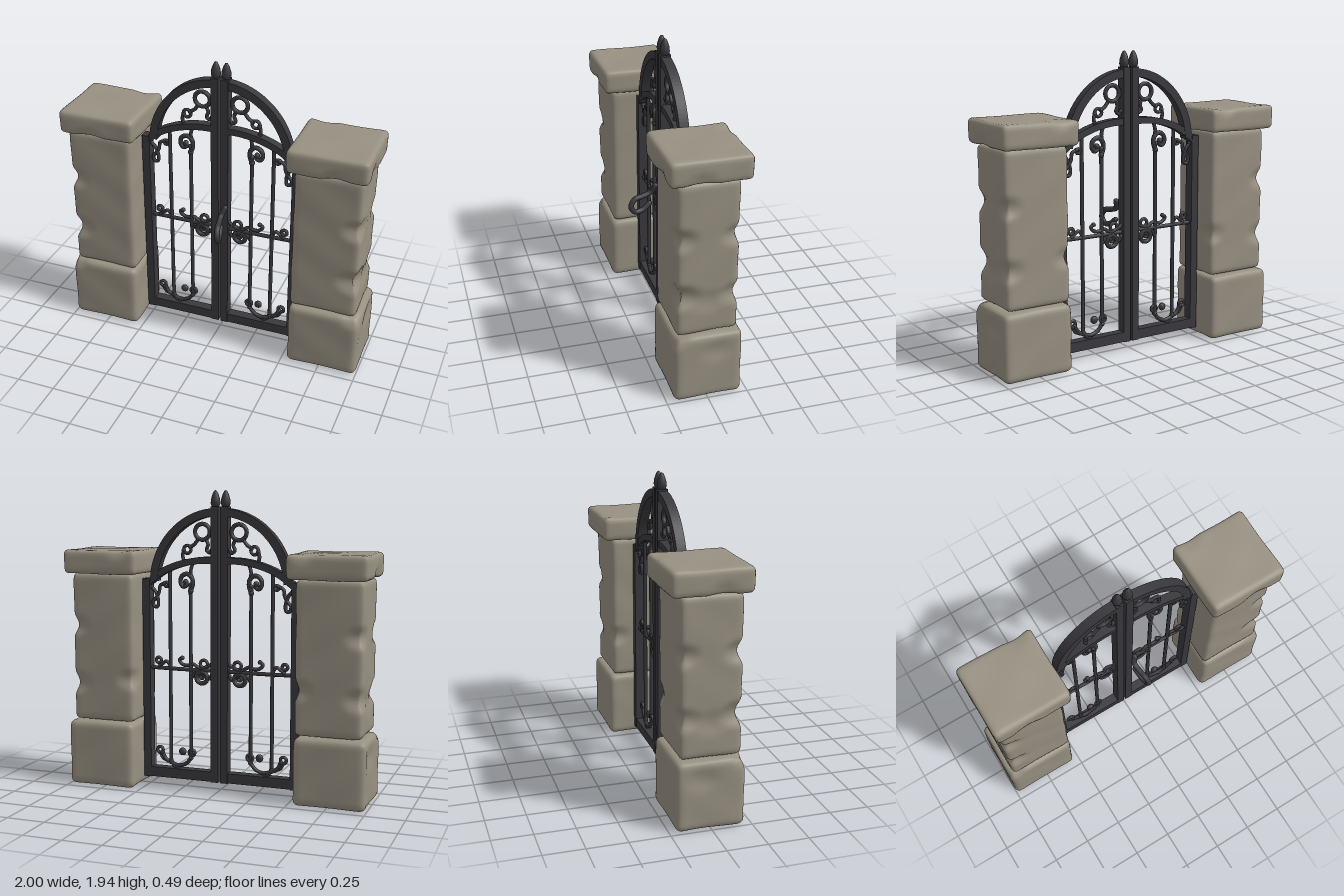
import * as THREE from 'three';
import { mergeVertices } from 'three/addons/utils/BufferGeometryUtils.js';

const stone = new THREE.MeshStandardMaterial({ color: 0x989182 });
stone.name = 'weathered stone';
const iron = new THREE.MeshStandardMaterial({ color: 0x39383d });
iron.name = 'dark iron';

const GATE_Z = -0.012;
const DEPTH = 0.066;

function add(parent, name, geometry, material, x = 0, y = 0, z = 0) {
  const mesh = new THREE.Mesh(geometry, material);
  mesh.name = name;
  mesh.position.set(x, y, z);
  parent.add(mesh);
  return mesh;
}

// Rounded block with gentle waves and chipped hollows [x, y, z, reach, depth]
function stoneGeometry(w, h, d, radius, side, chips) {
  const seg = (len) => Math.round(len / 0.02);
  let geo = new THREE.BoxGeometry(w, h, d, seg(w), seg(h), seg(d));
  geo.deleteAttribute('normal');
  geo.deleteAttribute('uv');
  geo = mergeVertices(geo, 1e-4);
  const half = new THREE.Vector3(w / 2 - radius, h / 2 - radius, d / 2 - radius);
  const low = half.clone().negate();
  const pos = geo.attributes.position;
  const p = new THREE.Vector3(), core = new THREE.Vector3(), n = new THREE.Vector3();
  for (let i = 0; i < pos.count; i++) {
    p.fromBufferAttribute(pos, i);
    core.copy(p).clamp(low, half);
    n.copy(p).sub(core).normalize();
    p.copy(core).addScaledVector(n, radius);
    let push = 0.003 * Math.sin(p.x * 13 + p.y * 9) * Math.cos(p.z * 15 + p.y * 11) - 0.002;
    for (const [cx, cy, cz, reach, depth] of chips) {
      const dist = Math.hypot(p.x * side - cx, (p.y - cy) * 1.6, p.z - cz) / reach;
      if (dist < 1) push -= depth * (1 - dist * dist) ** 2;
    }
    p.addScaledVector(n, push);
    pos.setXYZ(i, p.x, p.y, p.z);
  }
  geo.computeVertexNormals();
  return geo;
}

function pillar(side) {
  const g = new THREE.Group();
  g.name = side > 0 ? 'leftPillar' : 'rightPillar';
  add(g, 'pillarBase', stoneGeometry(0.465, 0.436, 0.422, 0.04, side,
    [[0.2, 0.2, 0.2, 0.1, 0.02], [0.23, 0.1, -0.05, 0.14, 0.01]]), stone, side * 0.766, 0.223, -0.004);
  add(g, 'pillarShaft', stoneGeometry(0.432, 0.97, 0.378, 0.035, side,
    [[0.21, 0.14, 0.18, 0.14, 0.035], [0.21, -0.23, 0.18, 0.16, 0.04],
      [0.21, 0.14, -0.18, 0.13, 0.03], [0.21, -0.24, -0.18, 0.14, 0.03],
      [-0.21, -0.2, -0.18, 0.13, 0.025], [0.2, -0.27, 0, 0.15, 0.012]]), stone, side * 0.752, 0.928, 0);
  add(g, 'pillarCap', stoneGeometry(0.508, 0.158, 0.492, 0.032, side,
    [[0.05, -0.07, 0.24, 0.12, 0.015], [0.25, -0.06, 0.06, 0.12, 0.015],
      [-0.14, 0.07, -0.24, 0.1, 0.012]]), stone, side * 0.745, 1.486, -0.004);
  return g;
}

// Flat iron band following a smooth line of [x, y] points
function bandGeometry(points, width, side, depth) {
  const curve = new THREE.CatmullRomCurve3(points.map(([x, y]) => new THREE.Vector3(x * side, y, 0)));
  const outer = [], inner = [];
  const N = 28;
  for (let i = 0; i <= N; i++) {
    const p = curve.getPointAt(i / N), t = curve.getTangentAt(i / N);
    outer.push(new THREE.Vector2(p.x - t.y * width / 2, p.y + t.x * width / 2));
    inner.unshift(new THREE.Vector2(p.x + t.y * width / 2, p.y - t.x * width / 2));
  }
  const geo = new THREE.ExtrudeGeometry(new THREE.Shape([...outer, ...inner]), { depth, bevelEnabled: false });
  return geo.translate(0, 0, -depth / 2);
}

function gateLeaf(side) {
  const g = new THREE.Group();
  g.name = side > 0 ? 'leftGateLeaf' : 'rightGateLeaf';
  g.position.z = GATE_Z;

  const box = (name, x0, x1, y0, y1, d = DEPTH) =>
    add(g, name, new THREE.BoxGeometry(x1 - x0, y1 - y0, d), iron, side * (x0 + x1) / 2, (y0 + y1) / 2);
  const rod = (name, points, r = 0.012) => {
    const curve = new THREE.CatmullRomCurve3(points.map(([x, y]) => new THREE.Vector3(x * side, y, 0)));
    add(g, name, new THREE.TubeGeometry(curve, points.length * 6, r, 8), iron);
    for (const [x, y] of [points[0], points[points.length - 1]])
      add(g, name + 'End', new THREE.SphereGeometry(r * 1.25, 10, 8), iron, x * side, y);
  };
  const ring = (name, x, y, r, tube = 0.011) =>
    add(g, name, new THREE.TorusGeometry(r, tube, 8, 24), iron, x * side, y);

  // Frame
  box('outerStile', 0.477, 0.528, 0.057, 1.375);
  box('innerStile', 0.007, 0.057, 0.057, 1.84);
  box('bottomRail', 0.05, 0.485, 0.06, 0.125, DEPTH - 0.004);
  const arch = [];
  for (let i = 0; i <= 8; i++) {
    const a = 0.06 + i / 8 * 1.43;
    arch.push([0.452 * Math.cos(a), 1.335 + 0.472 * Math.sin(a)]);
  }
  add(g, 'topArch', bandGeometry(arch, 0.052, side, DEPTH - 0.006), iron);
  add(g, 'lowerArch', bandGeometry([[0.495, 1.345], [0.4, 1.418], [0.28, 1.47], [0.15, 1.497], [0.03, 1.502]],
    0.042, side, DEPTH - 0.01), iron);

  // Spear finial
  const spear = [[0, 1.83], [0.022, 1.835], [0.031, 1.86], [0.029, 1.885], [0.02, 1.915], [0.009, 1.937], [0, 1.942]];
  add(g, 'finial', new THREE.LatheGeometry(spear.map(([r, y]) => new THREE.Vector2(r, y)), 14), iron, side * 0.034);

  // Upright bars and middle rail
  rod('innerBar', [[0.205, 0.2], [0.205, 0.8], [0.205, 1.34]], 0.013);
  rod('outerBar', [[0.347, 0.16], [0.347, 0.8], [0.347, 1.43]], 0.013);
  rod('middleRail', [[0.05, 0.79], [0.25, 0.788], [0.485, 0.79]], 0.013);

  // Rings and scrolls between the arches
  ring('crownRing', 0.123, 1.68, 0.05, 0.014);
  ring('smallCrownRing', 0.226, 1.567, 0.025);
  rod('crownLink', [[0.15, 1.635], [0.178, 1.6], [0.205, 1.582]]);
  rod('crownFoot', [[0.25, 1.56], [0.258, 1.53], [0.25, 1.49]]);
  rod('crownScroll', [[0.1, 1.635], [0.085, 1.6], [0.095, 1.565], [0.075, 1.55], [0.06, 1.565]]);

  // Curled heads of the inner bars
  rod('barCurl', [[0.205, 1.3], [0.19, 1.345], [0.198, 1.39], [0.232, 1.41], [0.266, 1.392],
    [0.274, 1.355], [0.256, 1.328], [0.234, 1.338], [0.238, 1.358]], 0.015);
  rod('curlHanger', [[0.2, 1.39], [0.203, 1.43], [0.19, 1.48]]);

  // Drop scroll in the upper corner
  ring('cornerEye', 0.372, 1.338, 0.014);
  rod('cornerScroll', [[0.385, 1.345], [0.415, 1.33], [0.425, 1.285], [0.445, 1.25], [0.466, 1.225],
    [0.457, 1.193], [0.436, 1.193], [0.43, 1.23], [0.45, 1.29], [0.478, 1.32]]);

  // Scrollwork around the middle rail
  ring('largeRailRing', 0.13, 0.74, 0.038, 0.015);
  ring('innerRailRing', 0.13, 0.745, 0.012, 0.01);
  ring('upperRailRing', 0.115, 0.83, 0.025);
  rod('railSweep', [[0.055, 0.835], [0.09, 0.815], [0.14, 0.8], [0.19, 0.825], [0.225, 0.815], [0.262, 0.82],
    [0.285, 0.848], [0.265, 0.862]]);
  rod('railDrop', [[0.06, 0.76], [0.08, 0.735], [0.1, 0.75], [0.16, 0.78], [0.2, 0.74]]);
  ring('railEye', 0.43, 0.84, 0.018);
  rod('railHook', [[0.347, 0.8], [0.375, 0.835], [0.4, 0.82], [0.425, 0.8]], 0.011);

  // Bottom scroll
  ring('footEyeOuter', 0.425, 0.238, 0.02);
  ring('footEyeInner', 0.2, 0.235, 0.02);
  rod('footScroll', [[0.41, 0.222], [0.385, 0.18], [0.34, 0.155], [0.29, 0.142], [0.24, 0.16], [0.205, 0.2]], 0.013);
  rod('footScrollTail', [[0.425, 0.215], [0.405, 0.18], [0.37, 0.165]], 0.01);
  rod('footStem', [[0.347, 0.17], [0.335, 0.15], [0.3, 0.12]], 0.013);
  const bead = add(g, 'footBead', new THREE.SphereGeometry(0.026, 14, 10), iron, side * 0.265, 0.238);
  bead.scale.z = 0.7;
  return g;
}

export function createModel() {
  const model = new THREE.Group();
  model.name = 'stonePillarGate';
  for (const side of [1, -1]) model.add(pillar(side), gateLeaf(side));

  // Curved pull handle on the front
  const path = [[0.052, 0.98, 0.055], [0.035, 0.93, 0.08], [0.042, 0.91, 0.14], [0.052, 0.9, 0.19],
    [0.06, 0.855, 0.218], [0.055, 0.812, 0.19], [0.045, 0.815, 0.14], [0.035, 0.85, 0.09]];
  const curve = new THREE.CatmullRomCurve3(path.map((p) => new THREE.Vector3(...p)));
  add(model, 'pullHandle', new THREE.TubeGeometry(curve, 48, 0.018, 10), iron);
  for (const p of [path[0], path[path.length - 1]])
    add(model, 'pullHandleEnd', new THREE.SphereGeometry(0.018, 12, 8), iron, ...p);
  return model;
}
